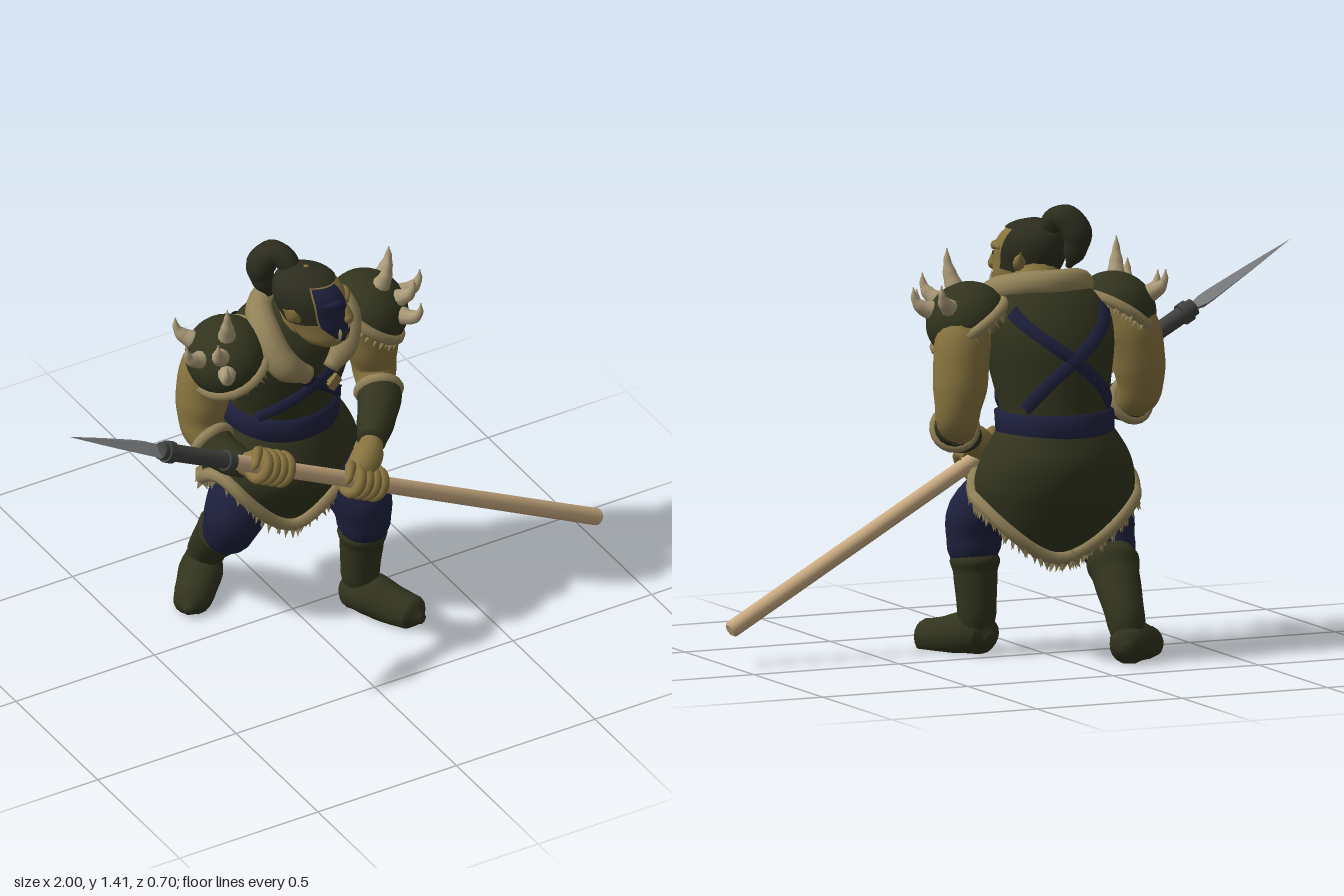
import * as THREE from 'three';
import { mergeGeometries } from 'three/addons/utils/BufferGeometryUtils.js';

const V = (x, y, z) => new THREE.Vector3(x, y, z);
const mat = (name, color, side = THREE.FrontSide) => Object.assign(new THREE.MeshStandardMaterial({ color, side }), { name });

export function createModel() {
  const root = new THREE.Group();
  root.name = 'spearWarrior';
  const D = THREE.DoubleSide;
  const skin = mat('skin', 0x88743f), leather = mat('leather', 0x32341e, D), hair = mat('hair', 0x2c2d1e, D);
  const fur = mat('fur', 0x928259), navy = mat('navy cloth', 0x1f213e, D), wood = mat('wood', 0xcbac82);
  const metal = mat('metal', 0x77787b), grip = mat('dark grip', 0x40423f), horn = mat('horn', 0xaa9a78);

  let seed = 7;
  const rnd = () => (seed = (seed * 16807) % 2147483647) / 2147483647;
  const add = (name, geo, m, parent = root) => {
    const mesh = new THREE.Mesh(geo, m);
    mesh.name = name;
    parent.add(mesh);
    return mesh;
  };

  // Skin a list of vertex rows into a smooth surface
  function rows(list, closed) {
    const n = list[0].length, pos = [], idx = [];
    list.forEach(r => r.forEach(p => pos.push(p.x, p.y, p.z)));
    for (let i = 0; i < list.length - 1; i++)
      for (let j = 0; j < (closed ? n : n - 1); j++) {
        const k = (j + 1) % n, a = i * n + j, b = i * n + k, c = b + n, d = a + n;
        idx.push(a, b, c, a, c, d);
      }
    const g = new THREE.BufferGeometry();
    g.setAttribute('position', new THREE.Float32BufferAttribute(pos, 3));
    g.setIndex(idx);
    g.computeVertexNormals();
    return g;
  }

  // Tube of changing radius through [x, y, z, r] points, closed at both ends
  function limb(pts, sides = 14, per = 5) {
    const curve = new THREE.CatmullRomCurve3(pts.map(p => V(p[0], p[1], p[2])));
    const steps = (pts.length - 1) * per, list = [];
    let N = null;
    for (let i = 0; i <= steps; i++) {
      const t = i / steps, c = curve.getPoint(t), T = curve.getTangent(t);
      if (!N) N = Math.abs(T.y) < 0.8 ? V(0, 1, 0) : V(0, 0, 1);
      N = N.clone().addScaledVector(T, -T.dot(N)).normalize();
      const B = T.clone().cross(N), k = Math.min(Math.floor(i / per), pts.length - 2), f = i / per - k;
      const r = THREE.MathUtils.lerp(pts[k][3], pts[k + 1][3], f * f * (3 - 2 * f));
      const ring = [];
      for (let j = 0; j < sides; j++) {
        const a = j / sides * Math.PI * 2;
        ring.push(c.clone().addScaledVector(N, Math.cos(a) * r).addScaledVector(B, Math.sin(a) * r));
      }
      if (i === 0) list.push(ring.map(() => c));
      list.push(ring);
      if (i === steps) list.push(ring.map(() => c));
    }
    return rows(list, true);
  }

  // Elliptical body from [y, centreZ, radiusX, radiusZ] rings, sampled at angle a (0 = front) and height y
  function body(rings) {
    const it = new THREE.CubicInterpolant(rings.map(r => r[0]), rings.flatMap(r => r.slice(1)), 3, new Float32Array(3));
    return (a, y, off = 0) => {
      const [cz, rx, rz] = it.evaluate(y);
      return V(Math.sin(a) * (Math.max(rx, 0) + off), y, cz + Math.cos(a) * (Math.max(rz, 0) + off));
    };
  }
  function patch(at, a0, a1, low, y1, off = 0, na = 40, ny = 22) {
    const list = [];
    for (let i = 0; i <= ny; i++) {
      const row = [];
      for (let j = 0; j <= na; j++) {
        const a = a0 + (a1 - a0) * j / na, y0 = typeof low === 'function' ? low(a) : low;
        row.push(at(a, y0 + (y1 - y0) * i / ny, off));
      }
      list.push(row);
    }
    return rows(list, false);
  }
  // Raised ribbon lying on a body, from one [angle, y] to another
  function strap(at, p, q, w, off = 0.012, n = 32) {
    const d = V((q[0] - p[0]) * 0.2, q[1] - p[1], 0).normalize(), list = [];
    for (let i = 0; i <= n; i++) {
      const a = p[0] + (q[0] - p[0]) * i / n, y = p[1] + (q[1] - p[1]) * i / n;
      list.push([[-w, -0.01], [-w * 0.8, off], [w * 0.8, off], [w, -0.01]].map(([s, o]) => at(a - d.y * s / 0.2, y + d.x * s, o)));
    }
    return rows(list, false);
  }
  // Fur edging: a tube with shaggy teeth along it
  function furTrim(pts, r, dir, teeth) {
    const parts = [limb(pts.map(p => [p.x, p.y, p.z, r]), 7, 2)];
    pts.forEach(p => {
      for (let k = 0; k < teeth; k++) {
        const d = dir.clone().add(V(rnd() - 0.5, rnd() - 0.5, rnd() - 0.5).multiplyScalar(0.7)).normalize();
        const g = new THREE.ConeGeometry(r * 0.7, r * 2.4, 4);
        g.deleteAttribute('uv');
        g.applyQuaternion(new THREE.Quaternion().setFromUnitVectors(V(0, 1, 0), d));
        parts.push(g.translate(p.x + d.x * r, p.y + d.y * r, p.z + d.z * r));
      }
    });
    return mergeGeometries(parts);
  }

  // Torso, straps and belt
  const torso = body([[0.66, -0.08, 0.17, 0.16], [0.75, -0.075, 0.165, 0.16], [0.88, -0.05, 0.19, 0.175],
    [1.0, -0.03, 0.21, 0.18], [1.08, -0.015, 0.2, 0.155], [1.16, 0, 0.13, 0.1], [1.2, 0.02, 0.05, 0.05]]);
  add('torso', patch(torso, -Math.PI, Math.PI, 0.66, 1.2), leather);
  add('belt', strap(torso, [-Math.PI, 0.74], [Math.PI, 0.74], 0.045, 0.02, 48), navy);
  for (const s of [-1, 1]) {
    add('chestStrap', strap(torso, [-0.95 * s, 1.08], [0.95 * s, 0.79], 0.022), navy);
    add('backStrap', strap(torso, [Math.PI - 0.95 * s, 1.1], [Math.PI + 0.95 * s, 0.8], 0.022), navy);
  }
  const buckle = add('buckle', new THREE.BoxGeometry(0.045, 0.04, 0.02), skin);
  buckle.position.copy(torso(0.3, 0.92, 0.014));
  buckle.rotation.set(0, 0.3, 0.6);

  // Coat skirt with hanging front and back flaps
  const coat = body([[0.3, -0.06, 0.17, 0.12], [0.4, -0.075, 0.225, 0.165], [0.48, -0.075, 0.25, 0.19],
    [0.56, -0.075, 0.258, 0.208], [0.64, -0.083, 0.235, 0.2], [0.74, -0.08, 0.172, 0.165]]);
  const hem = a => {
    const c = Math.cos(a + 0.22);
    return c > 0 ? 0.5 + 0.2 * c - 0.32 * c ** 3 : 0.5 - 0.18 * c * c;
  };
  add('coatSkirt', patch(coat, -Math.PI, Math.PI, hem, 0.74, 0, 60), leather);
  const hemPts = Array.from({ length: 81 }, (_, i) => (i / 40 - 1) * Math.PI).map(a => coat(a, hem(a) + 0.012, 0.004));
  add('coatFurHem', furTrim(hemPts, 0.022, V(0, -1, 0), 2), fur);
  add('pelvis', new THREE.SphereGeometry(0.14, 20, 14), navy).position.set(0, 0.6, -0.08);

  // Legs and boots
  const legs = [
    { name: 'left', thigh: [[0.08, 0.62, -0.07, 0.08], [0.12, 0.54, -0.005, 0.1], [0.18, 0.43, 0.1, 0.1], [0.19, 0.34, 0.11, 0.086], [0.19, 0.26, 0.1, 0.06]],
      shaft: [[0.19, 0.32, 0.105, 0.068], [0.19, 0.29, 0.103, 0.079], [0.19, 0.25, 0.1, 0.069], [0.19, 0.14, 0.09, 0.062], [0.19, 0.06, 0.09, 0.05]],
      foot: [[0.165, 0.045, 0.035, 0.02], [0.175, 0.055, 0.07, 0.06], [0.205, 0.06, 0.12, 0.07], [0.25, 0.04, 0.2, 0.064], [0.28, 0.035, 0.255, 0.058], [0.295, 0.03, 0.295, 0.015]] },
    { name: 'right', thigh: [[-0.08, 0.62, -0.1, 0.08], [-0.13, 0.53, -0.07, 0.1], [-0.18, 0.42, -0.04, 0.1], [-0.185, 0.33, -0.075, 0.086], [-0.175, 0.26, -0.14, 0.06]],
      shaft: [[-0.18, 0.32, -0.1, 0.07], [-0.177, 0.29, -0.125, 0.084], [-0.172, 0.25, -0.16, 0.074], [-0.16, 0.14, -0.25, 0.062], [-0.16, 0.06, -0.275, 0.05]],
      foot: [[-0.125, 0.045, -0.335, 0.02], [-0.145, 0.055, -0.305, 0.06], [-0.185, 0.06, -0.25, 0.07], [-0.245, 0.04, -0.185, 0.064], [-0.28, 0.035, -0.15, 0.056], [-0.31, 0.03, -0.115, 0.015]] }];
  for (const l of legs) {
    add(l.name + 'Trouser', limb(l.thigh, 18), navy);
    add(l.name + 'BootShaft', limb(l.shaft, 18), leather);
    const g = limb(l.foot, 18), p = g.attributes.position;
    for (let i = 0; i < p.count; i++) p.setY(i, Math.max(p.getY(i), 0));
    g.computeVertexNormals();
    add(l.name + 'Foot', g, leather);
  }

  // Arms with bracers and fur cuffs
  const arms = [
    { name: 'left', up: [[0.25, 1.1, 0, 0.07], [0.295, 1.0, -0.03, 0.088], [0.31, 0.88, -0.045, 0.086], [0.32, 0.78, -0.045, 0.07], [0.3, 0.72, 0, 0.058]],
      fore: [[0.32, 0.745, -0.03, 0.058], [0.295, 0.72, 0.03, 0.07], [0.235, 0.69, 0.11, 0.06], [0.18, 0.67, 0.175, 0.046]],
      hand: [[0.19, 0.668, 0.165, 0.036], [0.14, 0.65, 0.215, 0.05], [0.09, 0.62, 0.238, 0.046], [0.06, 0.6, 0.23, 0.02]] },
    { name: 'right', up: [[-0.25, 1.1, 0, 0.07], [-0.295, 1.0, -0.02, 0.088], [-0.315, 0.9, -0.02, 0.084], [-0.325, 0.81, -0.005, 0.07], [-0.32, 0.765, 0.04, 0.058]],
      fore: [[-0.325, 0.78, 0.02, 0.058], [-0.32, 0.765, 0.06, 0.066], [-0.305, 0.755, 0.13, 0.056], [-0.285, 0.755, 0.19, 0.044]],
      hand: [[-0.287, 0.755, 0.18, 0.036], [-0.27, 0.775, 0.23, 0.048], [-0.24, 0.79, 0.255, 0.046], [-0.21, 0.785, 0.25, 0.02]] }];
  for (const a of arms) {
    add(a.name + 'UpperArm', limb(a.up, 18), skin);
    add(a.name + 'Bracer', limb(a.fore, 16), leather);
    add(a.name + 'Hand', limb(a.hand, 14), skin);
    const [p, q] = [V(...a.fore[0]), V(...a.fore[1])];
    const cuff = add(a.name + 'Cuff', new THREE.TorusGeometry(0.062, 0.018, 8, 20), fur);
    cuff.position.copy(p).lerp(q, 0.7);
    cuff.quaternion.setFromUnitVectors(V(0, 0, 1), q.sub(p).normalize());
  }

  // Spiked shoulder pads, mirrored
  for (const s of [-1, 1]) {
    const pad = new THREE.Group(), R = V(0.13, 0.12, 0.135);
    pad.name = s > 0 ? 'leftShoulderPad' : 'rightShoulderPad';
    pad.position.set(0.255 * s, 1.06, 0.025);
    pad.quaternion.setFromUnitVectors(V(0, 1, 0), V(0.55 * s, 0.8, 0.15).normalize());
    root.add(pad);
    const on = (th, ph) => V(Math.sin(th) * Math.cos(ph) * s, Math.cos(th), Math.sin(th) * Math.sin(ph)).multiply(R);
    add('padShell', new THREE.SphereGeometry(1, 28, 16, 0, Math.PI * 2, 0, 1.75).scale(R.x, R.y, R.z), leather, pad);
    add('padFurTrim', furTrim(Array.from({ length: 33 }, (_, i) => on(1.7, i / 16 * Math.PI)), 0.018, V(0, -1, 0), 2), fur, pad);
    for (const [th, ph, len] of [[0.4, 2.6, 0.09], [0.55, 1.3, 0.08], [0.6, 0.2, 0.085], [0.75, -1.0, 0.08], [1.0, 1.2, 0.095]]) {
      const n = on(th, ph).normalize().applyQuaternion(pad.quaternion);
      const p = on(th, ph).applyQuaternion(pad.quaternion).add(pad.position);
      const step = (k, up) => p.clone().addScaledVector(n, len * k).add(V(0, up * len, 0));
      const tri = [[step(-0.15, 0), 0.03], [step(0.35, 0.03), 0.022], [step(0.6, 0.25), 0.012], [step(0.65, 0.65), 0.002]];
      add('padHorn', limb(tri.map(([v, r]) => [v.x, v.y, v.z, r]), 10, 4), horn);
    }
  }

  // Fur collar, open down the chest
  const collar = [[0.04, 0.99, 0.16, 0.026], [0.1, 1.06, 0.15, 0.044], [0.14, 1.13, 0.07, 0.048], [0.1, 1.165, -0.03, 0.044], [0, 1.175, -0.075, 0.042],
    [-0.1, 1.165, -0.03, 0.044], [-0.14, 1.13, 0.07, 0.05], [-0.12, 1.05, 0.145, 0.05], [-0.04, 0.99, 0.16, 0.03]];
  add('furCollar', limb(collar, 12, 6), fur);
  add('neck', limb([[0, 1.08, 0, 0.1], [0, 1.14, 0.05, 0.085], [-0.01, 1.22, 0.09, 0.07]]), skin);

  // Head, turned toward its left
  const head = new THREE.Group();
  head.name = 'head';
  head.position.set(-0.005, 1.22, 0.11);
  head.rotation.y = 0.62;
  root.add(head);
  const skull = body([[-0.135, 0.06, 0.015, 0.02], [-0.115, 0.05, 0.052, 0.062], [-0.05, 0.03, 0.074, 0.098], [0, 0.012, 0.082, 0.112],
    [0.05, 0.004, 0.086, 0.115], [0.1, -0.008, 0.068, 0.09], [0.125, -0.012, 0.038, 0.05], [0.137, -0.012, 0, 0]]);
  add('face', patch(skull, -Math.PI, Math.PI, -0.135, 0.137), skin, head);
  add('facePaint', patch(skull, -1.1, -0.04, a => -0.1 + 0.07 * (a / 1.1) ** 2, 0.1, 0.004, 16, 16), navy, head);
  add('hair', patch(skull, 1.15, Math.PI * 2 - 1.15, a => -0.06 + 0.05 * Math.abs(Math.cos(a / 2)), 0.137, 0.009), hair, head);
  add('hairTop', patch(skull, -Math.PI, Math.PI, 0.105, 0.137, 0.008), hair, head);
  add('nose', limb([[0, 0.035, 0.11, 0.011], [0, 0, 0.128, 0.015], [0, -0.018, 0.13, 0.02], [0, -0.03, 0.115, 0.012]], 10), skin, head);
  add('mouth', patch(skull, -0.42, 0.42, -0.078, -0.058, 0.005, 12, 2), hair, head);
  add('lowerLip', limb([[-0.035, -0.085, 0.105, 0.006], [0, -0.085, 0.122, 0.012], [0.035, -0.085, 0.105, 0.006]], 8), skin, head);
  for (const s of [-1, 1]) {
    add('brow', limb([[0.008 * s, 0.036, 0.118, 0.012], [0.04 * s, 0.047, 0.103, 0.016], [0.07 * s, 0.045, 0.07, 0.008]], 8), s < 0 ? navy : skin, head);
    add('eye', new THREE.SphereGeometry(0.009, 10, 8), hair, head).position.set(0.034 * s, 0.022, 0.109);
    add('tusk', limb([[0.03 * s, -0.085, 0.112, 0.009], [0.035 * s, -0.06, 0.12, 0.007], [0.036 * s, -0.035, 0.118, 0.001]], 8), horn, head);
    add('ear', limb([[0.075 * s, -0.01, 0, 0.018], [0.1 * s, 0.01, -0.015, 0.02], [0.125 * s, 0.045, -0.035, 0.002]], 8), skin, head);
  }
  add('ponytail', limb([[-0.035, 1.32, 0.05, 0.035], [-0.05, 1.36, 0.025, 0.037], [-0.075, 1.362, -0.005, 0.045],
    [-0.1, 1.32, -0.025, 0.048], [-0.095, 1.26, -0.02, 0.036], [-0.08, 1.21, -0.005, 0.01]], 14), hair);

  // Spear, built along its own y axis from butt to tip
  const spear = new THREE.Group(), butt = V(0.985, 0.115, 0.19), tip = V(-1, 1.19, 0.325);
  const L = butt.distanceTo(tip);
  spear.name = 'spear';
  spear.position.copy(butt);
  spear.quaternion.setFromUnitVectors(V(0, 1, 0), tip.clone().sub(butt).normalize());
  root.add(spear);
  const rod = (name, r0, r1, y0, y1, m) =>
    add(name, new THREE.CylinderGeometry(r1, r0, y1 - y0, 16).translate(0, (y0 + y1) / 2, 0), m, spear);
  rod('shaftButt', 0.02, 0.027, -0.008, 0, wood);
  rod('shaft', 0.027, 0.025, 0, 1.58, wood);
  rod('grip', 0.026, 0.028, 1.58, 1.87, grip);
  rod('lowerCollar', 0.033, 0.033, 1.565, 1.595, grip);
  rod('upperCollar', 0.035, 0.035, 1.82, 1.85, grip);
  const blade = [[1.86, 0.4], [1.9, 1], [1.94, 0.98], [2.1, 0.55], [L, 0.01]];
  const bladeGeo = rows(blade.map(([y, k]) => [V(0, y, 0.05 * k), V(0.021 * k, y, 0), V(0, y, -0.05 * k), V(-0.021 * k, y, 0)]), true).toNonIndexed();
  bladeGeo.computeVertexNormals();
  add('blade', bladeGeo, metal, spear);

  // Fingers and thumbs wrapped around the shaft
  for (const y of [1.0, 1.4]) {
    for (let i = 0; i < 4; i++) {
      const g = new THREE.TorusGeometry(0.041, 0.0185, 8, 18, 4.4).rotateZ(Math.PI / 2 - 2.2).rotateX(Math.PI / 2);
      add('finger', g.translate(0, y + (i - 1.5) * 0.032, 0), skin, spear);
    }
    add('thumb', limb([[0.03, y + 0.04, -0.035, 0.02], [0.042, y + 0.08, 0, 0.018], [0.02, y + 0.1, 0.035, 0.013], [0, y + 0.105, 0.04, 0.005]], 8), skin, spear);
  }
  return root;
}
